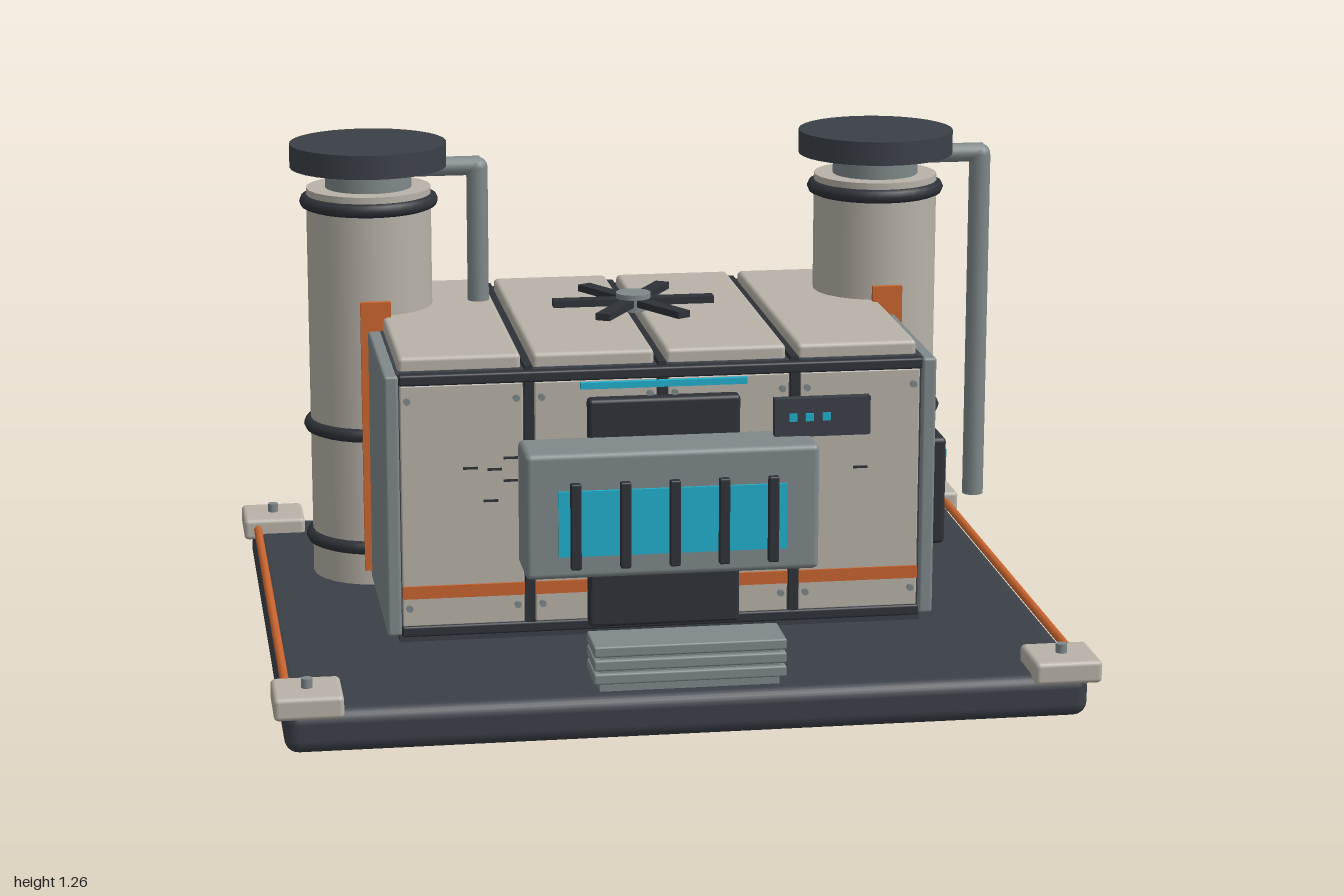
import * as THREE from 'three';
import { RoundedBoxGeometry } from 'three/addons/geometries/RoundedBoxGeometry.js';

export function createModel() {
  const root = new THREE.Group();
  root.name = 'machineHouse';
  const mat = (name, color) => {
    const m = new THREE.MeshStandardMaterial({ color });
    m.name = name;
    return m;
  };
  const dark = mat('darkSteel', 0x3b4048);
  const black = mat('blackRubber', 0x2e3238);
  const beige = mat('beigePanel', 0xb8b2a8);
  const grey = mat('greyMetal', 0x7f888a);
  const orange = mat('orangeTrim', 0xc9652f);
  const cyan = mat('cyanGlass', 0x20b0cc);

  const add = (name, geo, m, x, y, z, parent = root) => {
    const mesh = new THREE.Mesh(geo, m);
    mesh.name = name;
    mesh.position.set(x, y, z);
    parent.add(mesh);
    return mesh;
  };
  // Boxes given by their extents; r > 0 rounds the edges
  const box = (name, m, [x0, x1], [y0, y1], [z0, z1], r = 0, parent = root) => {
    const s = [x1 - x0, y1 - y0, z1 - z0];
    const geo = r ? new RoundedBoxGeometry(...s, 3, r) : new THREE.BoxGeometry(...s);
    return add(name, geo, m, (x0 + x1) / 2, (y0 + y1) / 2, (z0 + z1) / 2, parent);
  };
  const cyl = (name, m, r, h, x, y, z, parent = root, seg = 24) =>
    add(name, new THREE.CylinderGeometry(r, r, h, seg), m, x, y, z, parent);

  // Base slab, corner pads and side rails
  box('base', dark, [-0.975, 0.975], [0, 0.11], [-0.835, 0.835], 0.035);
  for (const sx of [-1, 1]) {
    const rail = cyl('sideRail', orange, 0.011, 1.5, sx * 0.963, 0.123, 0, root, 8);
    rail.rotation.x = Math.PI / 2;
    for (const sz of [-1, 1]) {
      const pad = box('cornerPad', beige, [-0.083, 0.083], [0.093, 0.15], [-0.083, 0.083], 0.012);
      pad.position.x = sx * 0.917;
      pad.position.z = sz * 0.772;
      cyl('padBolt', grey, 0.014, 0.03, sx * 0.917, 0.158, sz * 0.772, root, 10);
    }
  }

  // House core, side walls and top and bottom trim
  box('houseCore', dark, [-0.66, 0.66], [0.1, 0.795], [-0.625, 0.335]);
  for (const s of [-1, 1]) {
    box('sideWall', grey, [s * 0.673 - 0.018, s * 0.673 + 0.018], [0.13, 0.795], [-0.635, 0.35], 0.008);
  }
  for (const z of [-0.625, 0.335]) {
    for (const y of [0.14, 0.782]) {
      box('edgeTrim', black, [-0.655, 0.655], [y - 0.014, y + 0.014], [z - 0.016, z + 0.016], 0.006);
    }
    for (const x of [-0.333, 0, 0.333]) {
      box('wallSeam', black, [x - 0.012, x + 0.012], [0.14, 0.78], [z - 0.014, z + 0.014]);
    }
  }

  // Four bays of wall and roof panels, with bolts
  for (let i = 0; i < 4; i++) {
    const x0 = -0.655 + i * 0.3325;
    const span = [x0 + 0.003, x0 + 0.307];
    box('roofPanel', beige, span, [0.785, 0.83], [-0.585, 0.3], 0.012);
    for (const [z, s] of [[0.335, 1], [-0.625, -1]]) {
      box('wallPanel', beige, span, [0.152, 0.768], [z - 0.01, z + 0.01], 0.004);
      for (const bx of [x0 + 0.02, x0 + 0.29]) {
        for (const by of [0.2, 0.73]) {
          const bolt = cyl('panelBolt', grey, 0.009, 0.012, bx, by, z + s * 0.013, root, 8);
          bolt.rotation.x = Math.PI / 2;
        }
      }
      box('wallStripe', orange, span, [0.225, 0.257], [z + s * 0.012 - 0.004, z + s * 0.012 + 0.004]);
    }
  }
  for (const x of [-0.333, 0, 0.333]) {
    box('roofSeam', black, [x - 0.01, x + 0.01], [0.79, 0.807], [-0.625, 0.335]);
  }
  for (let i = -2; i <= 2; i++) {
    box('backFin', orange, [i * 0.145 - 0.01, i * 0.145 + 0.01], [0.18, 0.72], [-0.645, -0.63]);
  }

  // Roof fan
  const fan = new THREE.Group();
  fan.name = 'roofFan';
  fan.position.set(0, 0.85, -0.165);
  root.add(fan);
  cyl('fanHub', grey, 0.045, 0.045, 0, 0, 0, fan);
  for (let i = 0; i < 3; i++) {
    const blade = box('fanBlade', black, [-0.21, 0.21], [-0.009, 0.009], [-0.019, 0.019], 0, fan);
    blade.rotation.y = i * Math.PI / 3;
  }

  // Towers with bands, cap and drain pipe
  for (const s of [-1, 1]) {
    const tower = new THREE.Group();
    tower.name = s > 0 ? 'leftTower' : 'rightTower';
    tower.position.set(s * 0.67, 0, -0.328);
    root.add(tower);
    cyl('towerShell', beige, 0.162, 1.03, 0, 0.625, 0, tower);
    for (const y of [0.21, 0.512, 1.105]) {
      const band = add('towerBand', new THREE.TorusGeometry(0.162, 0.018, 8, 32), black, 0, y, 0, tower);
      band.rotation.x = Math.PI / 2;
    }
    cyl('towerNeck', grey, 0.112, 0.07, 0, 1.165, 0, tower);
    cyl('towerCap', dark, 0.203, 0.062, 0, 1.225, 0, tower, 32);
    const arm = cyl('pipeArm', grey, 0.025, 0.3, 0.14, 1.187, 0, tower, 14);
    arm.rotation.z = Math.PI / 2;
    add('pipeElbow', new THREE.SphereGeometry(0.028, 14, 10), grey, 0.283, 1.182, 0, tower);
    cyl('drainPipe', grey, 0.028, 0.93, 0.283, 0.715, 0, tower, 14);
    box('towerBracket', orange, [s * 0.67 - 0.039, s * 0.67 + 0.039], [0.155, 0.87], [-0.162, -0.146]);
  }

  // Front window unit with its backing panel
  box('backingPanel', black, [-0.19, 0.19], [0.14, 0.725], [0.33, 0.38], 0.01);
  box('windowHousing', grey, [-0.365, 0.362], [0.313, 0.63], [0.365, 0.528], 0.015);
  box('window', cyan, [-0.285, 0.28], [0.372, 0.537], [0.527, 0.536]);
  for (let i = -2; i <= 2; i++) {
    box('windowBar', black, [i * 0.122 - 0.013, i * 0.122 + 0.013], [0.343, 0.56], [0.535, 0.556], 0.004);
  }
  box('lightStrip', cyan, [-0.21, 0.205], [0.755, 0.771], [0.374, 0.388]);

  // Front control box and narrow vent slots
  box('controlBox', dark, [0.265, 0.505], [0.628, 0.725], [0.412, 0.438]);
  for (const x of [0.311, 0.352, 0.394]) {
    box('controlLight', cyan, [x - 0.01, x + 0.01], [0.668, 0.688], [0.437, 0.443]);
  }
  for (const [x, y] of [[-0.48, 0.555], [-0.42, 0.55], [-0.38, 0.578], [-0.38, 0.52], [-0.43, 0.47], [0.5, 0.52]]) {
    box('ventSlot', black, [x - 0.018, x + 0.018], [y - 0.003, y + 0.003], [0.343, 0.348]);
  }

  // Side terminal
  box('terminalCase', black, [0.68, 0.75], [0.273, 0.553], [0.025, 0.222], 0.012);
  box('terminalScreen', cyan, [0.749, 0.757], [0.43, 0.515], [0.062, 0.19]);
  for (const y of [0.4, 0.37, 0.342]) {
    box('terminalSlot', grey, [0.748, 0.753], [y - 0.004, y + 0.004], [0.057, 0.19]);
  }

  // Front steps
  for (let i = 0; i < 3; i++) {
    const y = 0.13 + i * 0.034;
    box('stepSlab', grey, [-0.235, 0.232], [y, y + 0.027], [0.667, 0.802], 0.005);
  }
  box('stepCore', grey, [-0.22, 0.217], [0.1, 0.2], [0.68, 0.79]);
  return root;
}
